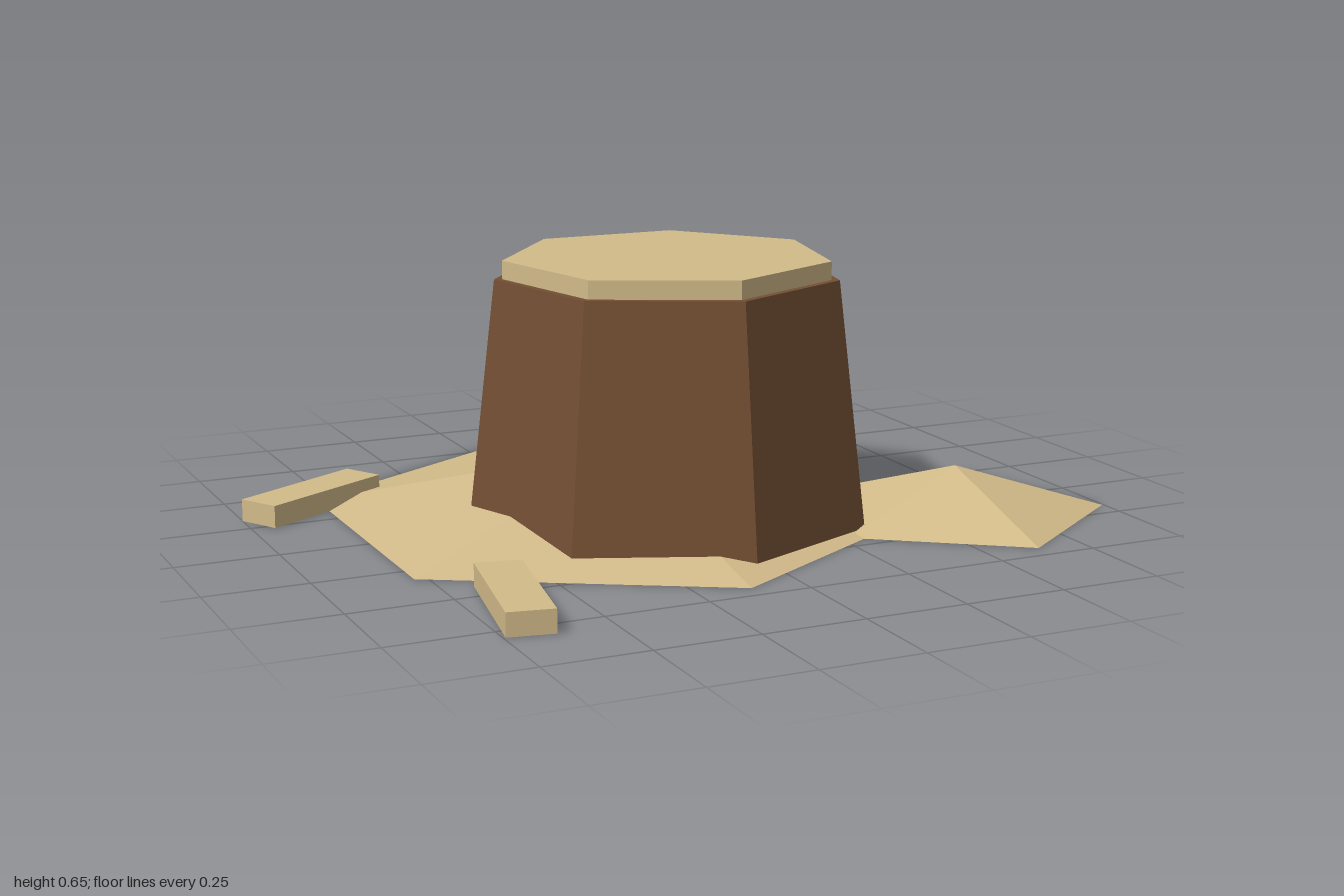
import * as THREE from 'three';

const paleWood = new THREE.MeshStandardMaterial({ name: 'paleWood', color: 0xd2bb8a, flatShading: true });
const bark = new THREE.MeshStandardMaterial({ name: 'bark', color: 0x744f34, flatShading: true });

export function createModel() {
  const model = new THREE.Group();
  model.name = 'treeStump';

  function add(name, geometry, material, x, y, z, turn = 0) {
    const mesh = new THREE.Mesh(geometry, material);
    mesh.name = name;
    mesh.position.set(x, y, z);
    mesh.rotation.y = turn;
    model.add(mesh);
  }

  // Tapered seven-sided trunk, its base just above the sawdust's underside
  add('trunk', new THREE.CylinderGeometry(0.42, 0.49, 0.608, 7), bark, -0.047, 0.306, 0.09);

  // Cut top, slightly narrower than the trunk
  add('cutTop', new THREE.CylinderGeometry(0.4, 0.4, 0.065, 7), paleWood, -0.047, 0.622, 0.09);

  // Sawdust heaps: wide one under the trunk, small one beside it
  add('largeSawdustHeap', new THREE.ConeGeometry(0.76, 0.15, 6), paleWood, -0.122, 0.075, -0.062);
  add('smallSawdustHeap', new THREE.ConeGeometry(0.38, 0.114, 5), paleWood, 0.635, 0.057, 0.315);

  // Loose wood chips on the ground: x, z, turn
  const chip = new THREE.BoxGeometry(0.11, 0.055, 0.375);
  [
    [-0.657, 0.622, -0.18],
    [-0.81, -0.37, -1.05],
    [0.483, -0.523, 0.7],
  ].forEach(([x, z, turn], i) => add(`woodChip${i + 1}`, chip, paleWood, x, 0.0275, z, turn));

  return model;
}
